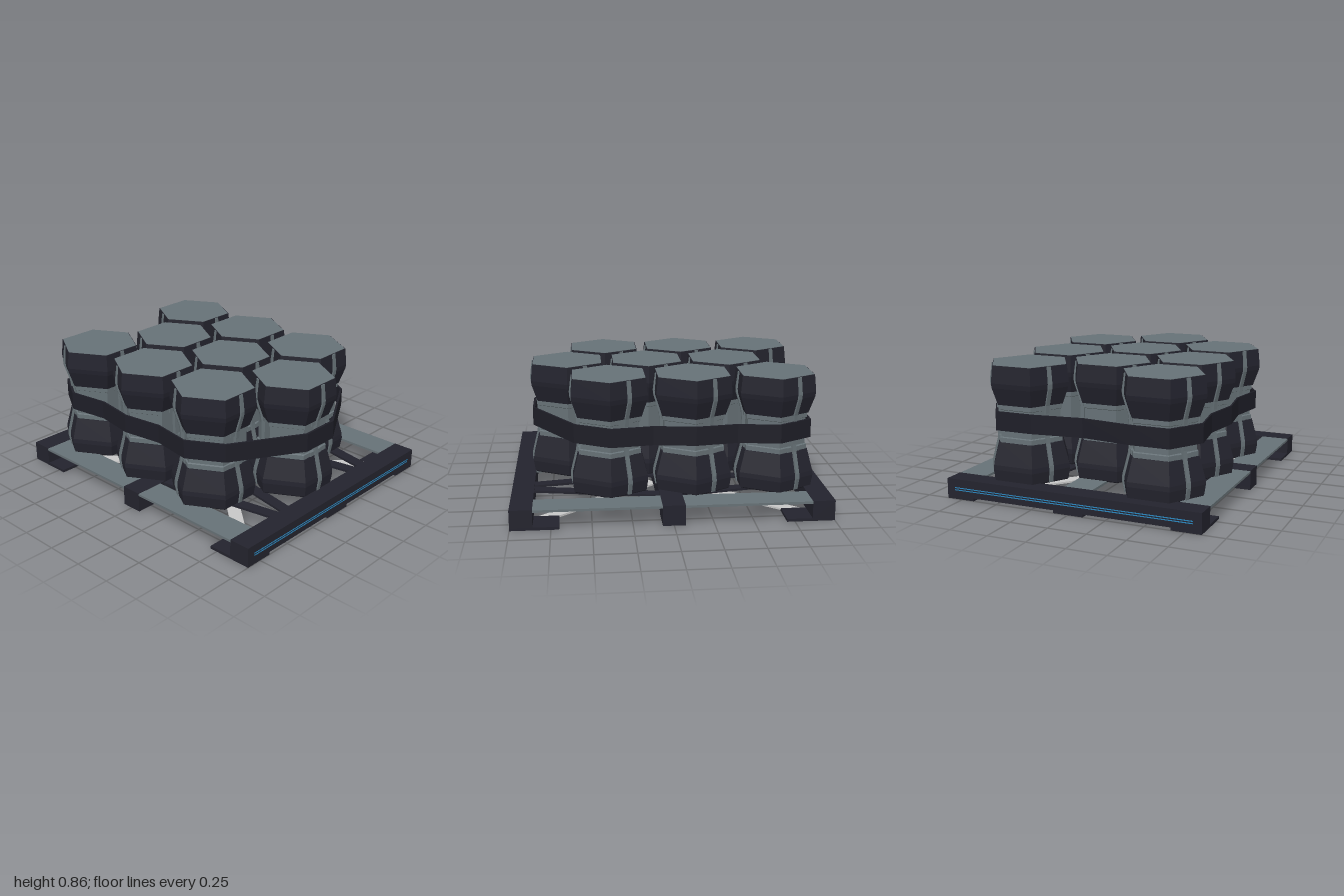
import * as THREE from 'three';

const mat = (name, color) => Object.assign(new THREE.MeshStandardMaterial({ color }), { name });

export function createModel() {
  const dark = mat('dark navy', 0x23232d);
  const grey = mat('slate grey', 0x667176);
  const light = mat('light strut', 0xc6c6c6);
  const blue = mat('blue line', 0x2a86bd);
  const black = mat('strap black', 0x1e1e27);

  const model = new THREE.Group();
  model.name = 'canisterPallet';

  const add = (parent, name, geo, material, x = 0, y = 0, z = 0) => {
    const m = new THREE.Mesh(geo, material);
    m.name = name;
    m.position.set(x, y, z);
    parent.add(m);
    return m;
  };
  // Box given by its limits
  const slab = (parent, name, material, x0, x1, y0, y1, z0, z1) =>
    add(parent, name, new THREE.BoxGeometry(x1 - x0, y1 - y0, z1 - z0), material,
      (x0 + x1) / 2, (y0 + y1) / 2, (z0 + z1) / 2);
  // Flat bar between two points on the ground plane
  const bar = (parent, name, material, [x0, z0], [x1, z1], width, y, h) => {
    const m = add(parent, name, new THREE.BoxGeometry(width, h, Math.hypot(x1 - x0, z1 - z0)),
      material, (x0 + x1) / 2, y + h / 2, (z0 + z1) / 2);
    m.rotation.y = Math.atan2(x1 - x0, z1 - z0);
  };

  // ---- Pallet ----
  const pallet = new THREE.Group();
  pallet.name = 'pallet';
  model.add(pallet);
  for (const z of [-0.93, 0, 0.93]) {
    slab(pallet, 'crossBeam', dark, -0.855, 0.855, 0.018, 0.13, z - 0.07, z + 0.07);
    slab(pallet, 'centreFoot', dark, -0.1, 0.1, 0, 0.018, z - 0.07, z + 0.07);
  }
  for (const [x0, x1] of [[-0.855, -0.665], [-0.095, 0.095], [0.665, 0.855]])
    for (const [z0, z1] of [[-0.86, -0.07], [0.07, 0.86]])
      slab(pallet, 'deckBoard', grey, x0, x1, 0.113, 0.128, z0, z1);
  for (const sx of [-1, 1]) {
    slab(pallet, 'sideFoot', dark, sx * 0.76 - 0.095, sx * 0.76 + 0.095, 0, 0.018, -0.07, 0.07);
    for (const sz of [-1, 1]) {
      slab(pallet, 'cornerFoot', dark, sx * 0.76 - 0.095, sx * 0.76 + 0.095, 0, 0.018,
        sz * 0.85 - 0.15, sz * 0.85 + 0.15);
      bar(pallet, 'bottomStrut', light, [sx * 0.06, sz * 0.07], [sx * 0.72, sz * 0.84], 0.085, 0.002, 0.012);
      bar(pallet, 'innerDeckBrace', dark, [sx * 0.36, sz * 0.9], [sx * 0.2, 0], 0.075, 0.108, 0.015);
      bar(pallet, 'outerDeckBrace', dark, [sx * 0.44, sz * 0.9], [sx * 0.61, 0], 0.075, 0.108, 0.015);
    }
  }
  for (const sz of [-1, 1])
    for (const y of [0.06, 0.074])
      slab(pallet, 'blueLine', blue, -0.8, 0.8, y - 0.003, y + 0.003, sz * 1 - 0.002, sz * 1 + 0.002);

  // ---- Canisters ----
  // Six-sided faceted turning with flats facing +z and -z
  const hexLathe = (pts) => {
    const g = new THREE.LatheGeometry(pts.map(p => new THREE.Vector2(...p)), 6, Math.PI / 6).toNonIndexed();
    g.computeVertexNormals();
    return g;
  };
  const lowerShell = hexLathe([[0, 0.122], [0.255, 0.122], [0.264, 0.13], [0.275, 0.2], [0.272, 0.23],
    [0.232, 0.37], [0.2, 0.37]]);
  const upperShell = hexLathe([[0.2, 0.61], [0.232, 0.61], [0.272, 0.72], [0.276, 0.75],
    [0.264, 0.86], [0.25, 0.86]]);
  const core = hexLathe([[0.224, 0.365], [0.224, 0.4], [0.214, 0.405], [0.214, 0.575],
    [0.224, 0.58], [0.224, 0.615]]);
  const cap = new THREE.CylinderGeometry(0.26, 0.26, 0.02, 6, 1, false, Math.PI / 6).toNonIndexed();
  cap.computeVertexNormals();

  // Rib following the canister outline, standing on a flat
  const ribShape = new THREE.Shape([[0.17, 0.128], [0.236, 0.128], [0.25, 0.2], [0.247, 0.235], [0.213, 0.37],
    [0.208, 0.42], [0.208, 0.56], [0.213, 0.61], [0.247, 0.72], [0.25, 0.75], [0.236, 0.858], [0.17, 0.858]]
    .map(p => new THREE.Vector2(...p)));
  const rib = new THREE.ExtrudeGeometry(ribShape, { depth: 0.027, bevelEnabled: false }).translate(0, 0, -0.0135);
  // Low collar block where the rib meets each shell
  const collar = new THREE.BoxGeometry(0.03, 0.03, 0.1);

  const makeCanister = (x, z) => {
    const c = new THREE.Group();
    c.name = 'canister';
    c.position.set(x, 0, z);
    add(c, 'lowerShell', lowerShell, dark);
    add(c, 'core', core, grey);
    add(c, 'upperShell', upperShell, dark);
    add(c, 'topCap', cap, grey, 0, 0.852, 0);
    for (let i = 0; i < 3; i++) {
      const side = new THREE.Group();
      side.name = 'ribSide';
      side.rotation.y = -Math.PI / 2 + i * Math.PI * 2 / 3;
      add(side, 'rib', rib, grey);
      for (const y of [0.385, 0.595]) add(side, 'ribCollar', collar, grey, 0.185, y, 0);
      c.add(side);
    }
    model.add(c);
  };
  for (const [x, zs] of [[-0.49, [-0.685, -0.155, 0.375]], [-0.035, [-0.425, 0.105, 0.635]],
    [0.42, [-0.685, -0.155, 0.375]]])
    for (const z of zs) makeCanister(x, z);

  // ---- Strap around the stack ----
  const path = [[-0.745, -0.685], [-0.705, -0.42], [-0.745, -0.155], [-0.705, 0.11], [-0.745, 0.375],
    [-0.615, 0.6], [-0.165, 0.868], [0.095, 0.868], [0.545, 0.6], [0.675, 0.375], [0.635, 0.11],
    [0.675, -0.155], [0.635, -0.42], [0.675, -0.685], [0.545, -0.902], [0.295, -0.902],
    [-0.035, -0.86], [-0.365, -0.902], [-0.615, -0.902]];
  const loop = k => path.map(([x, z]) => new THREE.Vector2(-0.035 + (x + 0.035) * k, -z * k));
  const band = new THREE.Shape(loop(1));
  band.holes.push(new THREE.Path(loop(0.983)));
  add(model, 'strap', new THREE.ExtrudeGeometry(band, { depth: 0.12, bevelEnabled: false })
    .rotateX(-Math.PI / 2), black, 0, 0.45, 0);

  return model;
}
